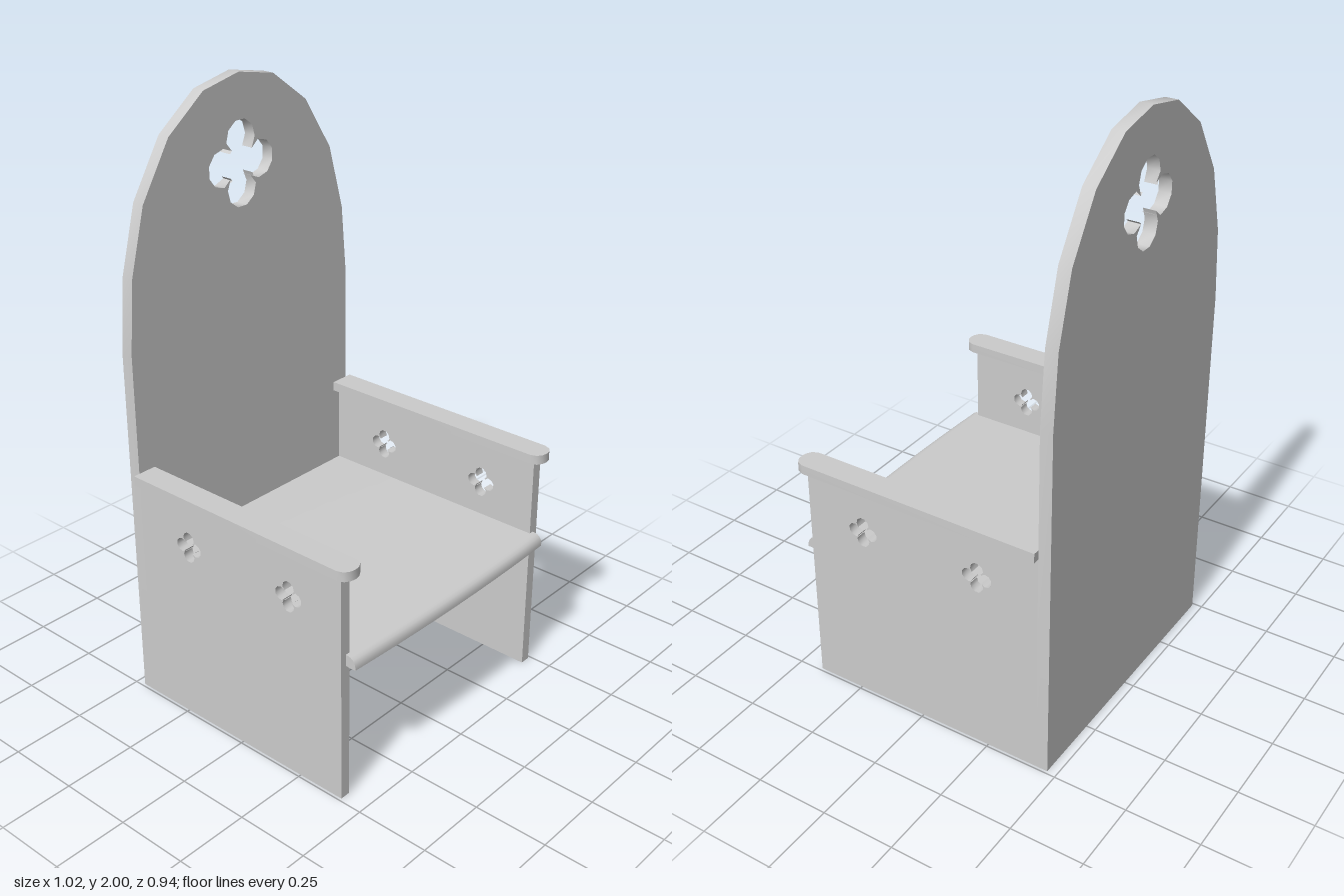
import * as THREE from 'three';
import { toCreasedNormals } from 'three/addons/utils/BufferGeometryUtils.js';

const material = new THREE.MeshStandardMaterial({ color: 0xcccccc });

// Four-lobed cut-out centred at (cx, cy); reach is the distance to a lobe tip
function quatrefoil(cx, cy, reach) {
  const points = [];
  const centre = reach * 0.56, radius = reach * 0.44, sweep = 2.27, steps = 7;
  for (let lobe = 0; lobe < 4; lobe++) {
    const turn = lobe * Math.PI / 2;
    for (let i = 0; i <= steps; i++) {
      const a = turn - sweep + (2 * sweep * i) / steps;
      points.push(new THREE.Vector2(
        cx + centre * Math.cos(turn) + radius * Math.cos(a),
        cy + centre * Math.sin(turn) + radius * Math.sin(a)));
    }
  }
  return new THREE.Path(points);
}

// Board of the given thickness, centred on z = 0
function board(outline, thickness, holes = [], steps = 1) {
  const shape = new THREE.Shape(outline.map(([x, y]) => new THREE.Vector2(x, y)));
  shape.holes.push(...holes);
  return new THREE.ExtrudeGeometry(shape, { depth: thickness, steps, bevelEnabled: false })
    .translate(0, 0, -thickness / 2);
}

function addPart(group, name, geometry, x, y, z) {
  const mesh = new THREE.Mesh(toCreasedNormals(geometry, 0.65), material);
  mesh.name = name;
  mesh.position.set(x, y, z);
  group.add(mesh);
}

export function createModel() {
  const chair = new THREE.Group();
  chair.name = 'chair';

  // Tall arched back with a large cut-out
  const arch = [[0.49, 0], [0.49, 1.22], [0.47, 1.46], [0.41, 1.68], [0.297, 1.86], [0.15, 1.97]];
  const mirrored = arch.map(([x, y]) => [-x, y]).reverse();
  addPart(chair, 'back', board([...arch, [0, 2], ...mirrored], 0.042, [quatrefoil(0, 1.715, 0.141)]), 0, 0, -0.447);

  // Seat: side profile with a rounded front edge, run across the width and bowed forward
  const profile = [[-0.426, 0.477], [0.467, 0.477], [0.467, 0.487], [0.464, 0.499], [0.458, 0.508], [0.448, 0.514], [0.438, 0.516], [-0.426, 0.516]];
  const seat = board(profile, 0.94, [], 10).rotateY(-Math.PI / 2);
  const pos = seat.attributes.position;
  for (let i = 0; i < pos.count; i++) {
    if (pos.getZ(i) > 0.4) pos.setZ(i, pos.getZ(i) - 0.012 * (pos.getX(i) / 0.47) ** 2);
  }
  addPart(chair, 'seat', seat, 0, 0, 0);

  // Side panels with two small cut-outs, and armrests with rounded front corners
  const panel = [[-0.426, 0], [0.418, 0], [0.418, 0.79], [-0.426, 0.79]];
  const rest = [[-0.043, -0.426], [0.043, -0.426], [0.043, 0.419], [0.035, 0.441], [0.018, 0.452],
    [0, 0.455], [-0.018, 0.452], [-0.035, 0.441], [-0.043, 0.419]];
  for (const [label, s] of [['left', 1], ['right', -1]]) {
    const holes = [0.21, -0.213].map((z) => quatrefoil(z, 0.636, 0.053));
    addPart(chair, label + 'SidePanel', board(panel, 0.036, holes).rotateY(-Math.PI / 2), s * 0.472, 0, 0);
    addPart(chair, label + 'Armrest', board(rest, 0.032).rotateX(Math.PI / 2), s * 0.469, 0.805, 0);
  }
  return chair;
}
